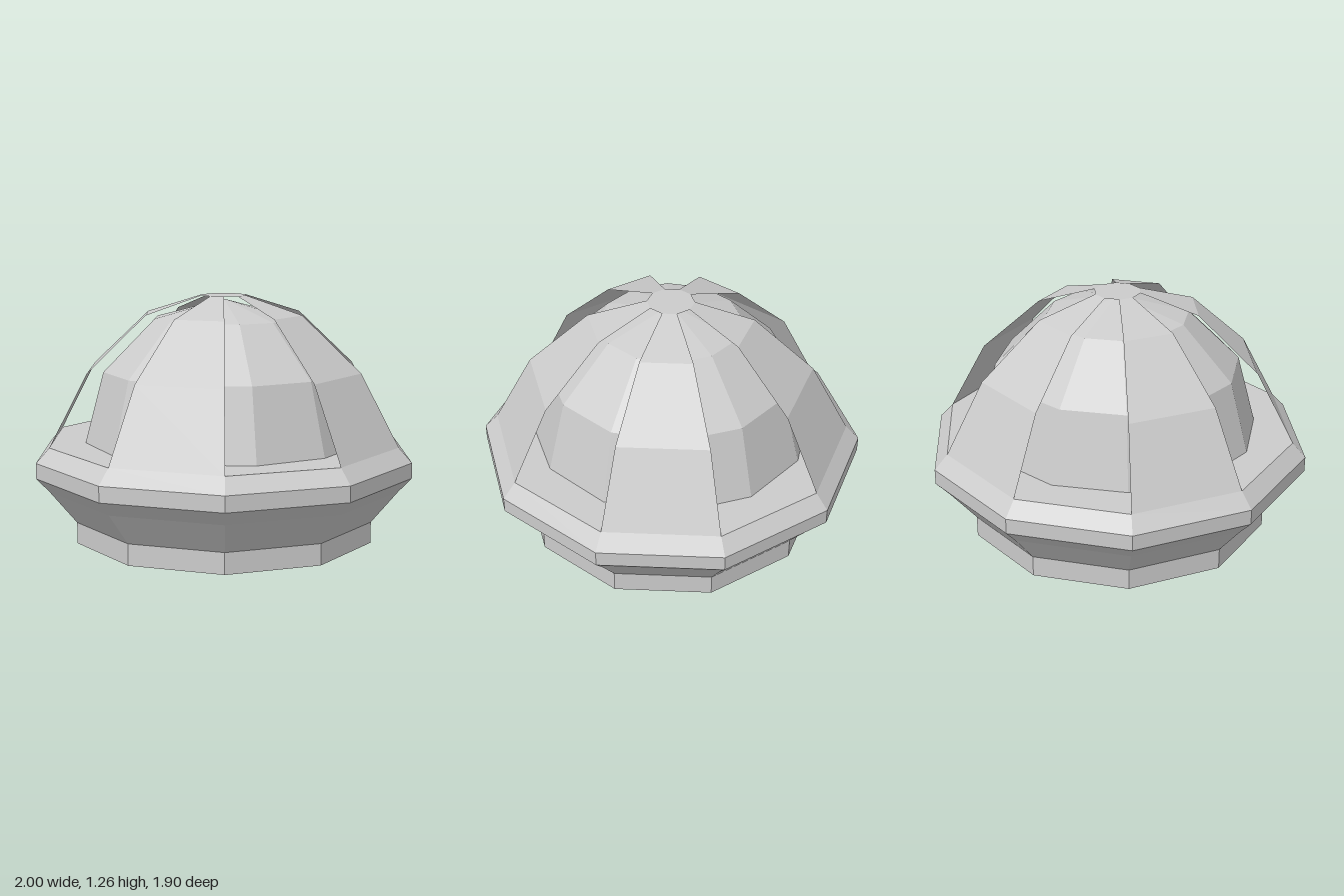
import * as THREE from 'three';

const material = new THREE.MeshStandardMaterial({ color: 0xcccccc, flatShading: true });
const shellMaterial = new THREE.MeshStandardMaterial({
  color: 0xcccccc, flatShading: true, side: THREE.DoubleSide,
});

const profile = (pairs) => pairs.map(([r, y]) => new THREE.Vector2(r, y));

function addMesh(parent, name, geometry, mat = material) {
  const mesh = new THREE.Mesh(geometry, mat);
  mesh.name = name;
  parent.add(mesh);
  return mesh;
}

export function createModel() {
  const model = new THREE.Group();
  model.name = 'domedBuilding';

  // Ten-sided foot, flared bowl, rim and flat floor, with corners on the x axis
  addMesh(model, 'base', new THREE.LatheGeometry(profile([
    [0, 0], [0.795, 0], [0.795, 0.11], [0.932, 0.28], [1, 0.355],
    [1, 0.435], [0.93, 0.51], [0, 0.51],
  ]), 10, Math.PI / 2));

  // Twelve-sided inner dome standing on the floor
  const dome = addMesh(model, 'innerDome',
    new THREE.SphereGeometry(0.73, 12, 3, 0, Math.PI * 2, 0, Math.PI / 2));
  dome.position.y = 0.51;

  // Five thin curved panels on every second side, leaving openings between them
  const panels = new THREE.Group();
  panels.name = 'outerPanels';
  model.add(panels);
  const panelProfile = profile([[0.93, 0.51], [0.73, 0.88], [0.42, 1.165], [0.12, 1.26]]);
  const panelGeometry = new THREE.LatheGeometry(panelProfile, 1, -Math.PI / 10, Math.PI / 5);
  for (let i = 0; i < 5; i++) {
    const panel = addMesh(panels, `outerPanel${i + 1}`, panelGeometry, shellMaterial);
    panel.rotation.y = (i * Math.PI * 2) / 5;
  }

  // Flat ten-sided cap joining the panel tops
  const cap = addMesh(model, 'cap', new THREE.CircleGeometry(0.12, 10), shellMaterial);
  cap.rotation.x = -Math.PI / 2;
  cap.position.y = 1.26;

  return model;
}
